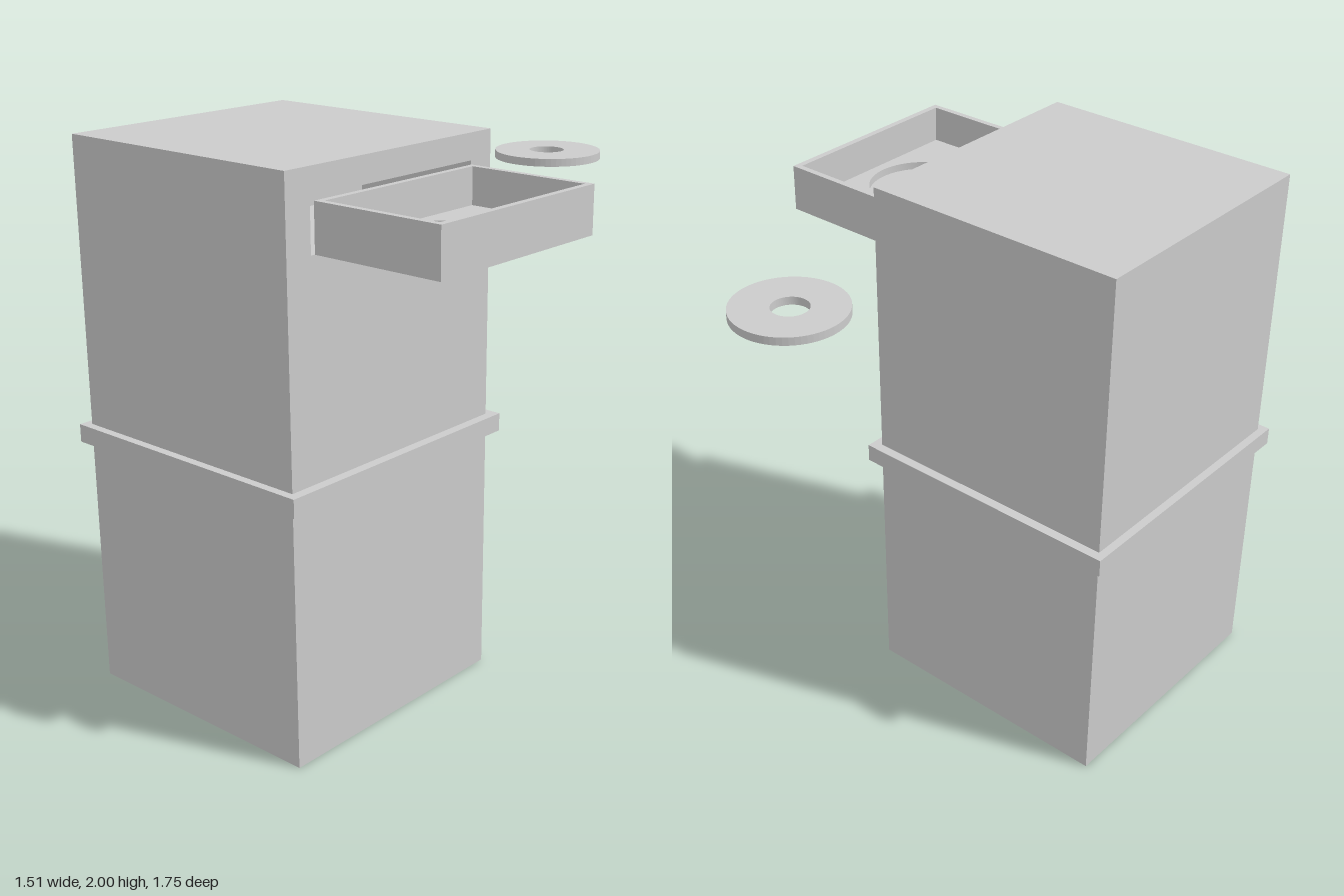
import * as THREE from 'three';
import { mergeGeometries } from 'three/addons/utils/BufferGeometryUtils.js';

const SEG = 64;
const material = () => new THREE.MeshStandardMaterial({ color: 0xcccccc });

// Turn a geometry inside out, for the walls of pockets
function inward(geometry) {
  const index = geometry.index;
  for (let i = 0; i < index.count; i += 3) {
    const a = index.getX(i);
    index.setX(i, index.getX(i + 2));
    index.setX(i + 2, a);
  }
  geometry.computeVertexNormals();
  return geometry;
}

// Box without some of its faces (0 +x, 1 -x, 2 +y, 3 -y, 4 +z, 5 -z)
function openBox(w, h, d, dropped) {
  const geometry = new THREE.BoxGeometry(w, h, d);
  const kept = Array.from(geometry.index.array).filter((v, i) => !dropped.includes(Math.floor(i / 6)));
  geometry.setIndex(kept);
  return geometry;
}

function rectangle(w, d, x = 0, z = 0) {
  return new THREE.Shape([[-1, -1], [1, -1], [1, 1], [-1, 1]].map(
    ([i, j]) => new THREE.Vector2(x + i * w / 2, -z + j * d / 2)));
}

// Flat upward face at height y, with an optional hole
function flat(shape, hole, y) {
  if (hole) shape.holes.push(hole);
  return new THREE.ShapeGeometry(shape, SEG / 2).rotateX(-Math.PI / 2).translate(0, y, 0);
}

// Box with a rectangular pocket sunk in its top; floorHole cuts the pocket floor
function pocketBox(w, h, d, pocket, floorHole) {
  const { w: pw, d: pd, depth, x = 0, z = 0 } = pocket;
  return mergeGeometries([
    openBox(w, h, d, [2]),
    flat(rectangle(w, d), rectangle(pw, pd, x, z), h / 2),
    inward(openBox(pw, depth, pd, [2, 3])).translate(x, h / 2 - depth / 2, z),
    flat(rectangle(pw, pd, x, z), floorHole, h / 2 - depth),
  ]);
}

function circle(r, x = 0, z = 0) {
  return new THREE.Path().absarc(x, -z, r, 0, Math.PI * 2);
}

export function createModel() {
  const model = new THREE.Group();
  const add = (name, geometry, x, y, z, parent = model) => {
    const mesh = new THREE.Mesh(geometry, material());
    mesh.name = name;
    mesh.position.set(x, y, z);
    parent.add(mesh);
    return mesh;
  };

  // Cabinet: lower block, projecting band, upper block with a drawer slot in its left side
  add('lowerCabinet', new THREE.BoxGeometry(0.98, 0.915, 0.98), -0.235, 0.4575, 0.35);
  add('band', new THREE.BoxGeometry(1.045, 0.065, 1.045), -0.2325, 0.9525, 0.3475);
  const slot = { w: 0.179, d: 0.77, depth: 0.49, x: 1.4925 - 1.8175, z: 0 };
  add('upperCabinet', pocketBox(1.015, 0.98, 0.98, slot).rotateZ(-Math.PI / 2), -0.235, 1.4925, 0.35);

  // Pulled-out drawer with a round recess and central hub in its floor
  const drawer = new THREE.Group();
  drawer.name = 'drawer';
  drawer.position.set(0.507, 1.8125, 0.3475);
  model.add(drawer);
  const rx = -0.009, rz = 0.02, radius = 0.195;
  const floorY = -0.0475, recessDepth = 0.027;
  add('tray', pocketBox(0.49, 0.165, 0.755, { w: 0.445, d: 0.711, depth: 0.13 }, circle(radius, rx, rz)), 0, 0, 0, drawer);
  const wall = new THREE.CylinderGeometry(radius, radius, recessDepth, SEG, 1, true);
  add('recessWall', inward(wall), rx, floorY - recessDepth / 2, rz, drawer);
  add('recessFloor', new THREE.CircleGeometry(radius, SEG).rotateX(-Math.PI / 2), rx, floorY - recessDepth, rz, drawer);
  add('hub', new THREE.CylinderGeometry(0.062, 0.062, recessDepth, SEG), rx - 0.003, floorY - recessDepth / 2, rz, drawer);

  // Loose disc with a centre hole, floating behind
  const disc = new THREE.Shape().absarc(0, 0, 0.193, 0, Math.PI * 2);
  disc.holes.push(circle(0.063, -0.004));
  const discGeometry = new THREE.ExtrudeGeometry(disc, { depth: 0.028, bevelEnabled: false, curveSegments: SEG / 2 });
  add('disc', discGeometry.rotateX(-Math.PI / 2), 0.105, 1.81, -0.682);

  return model;
}
